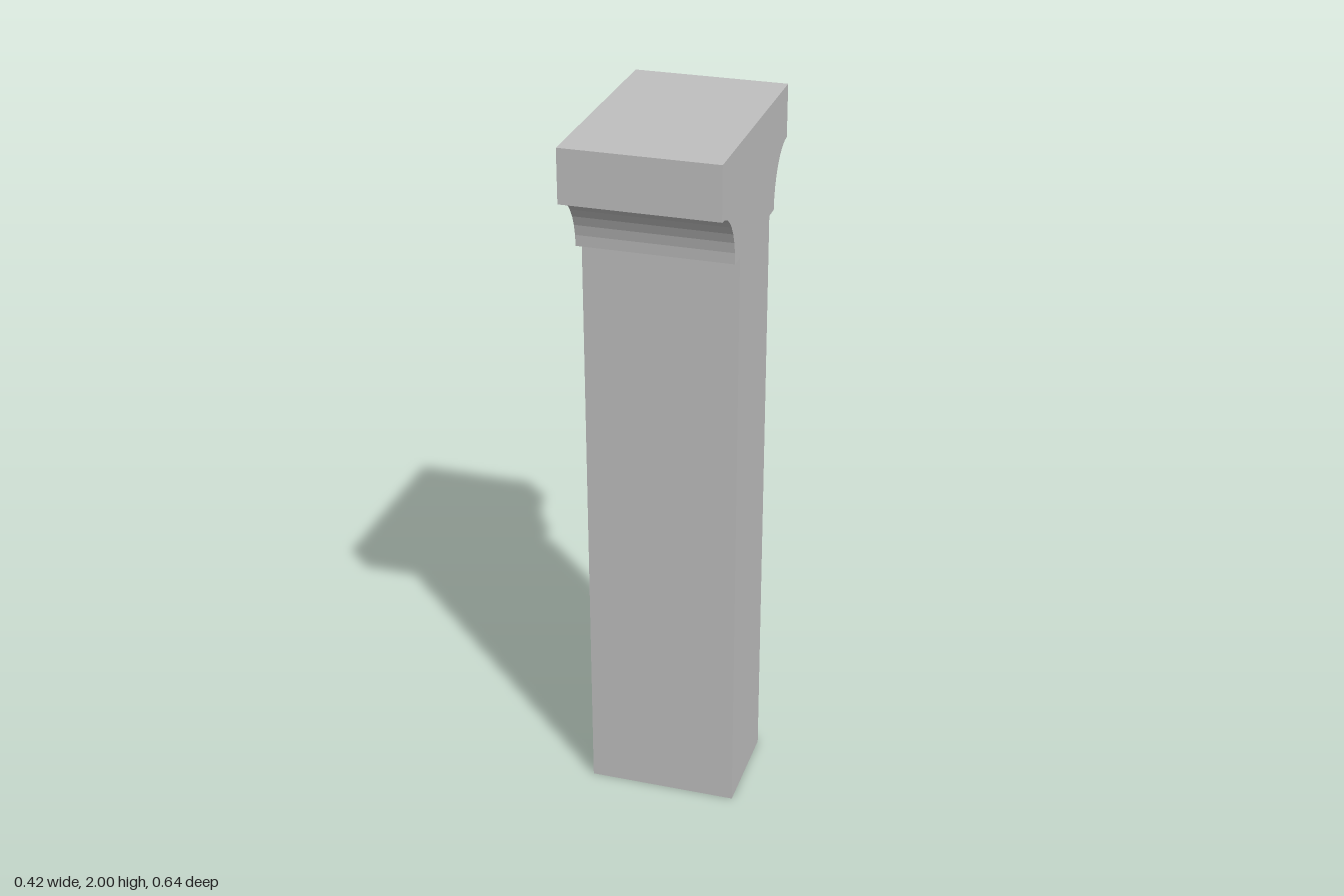
import * as THREE from 'three';

const WIDTH = 0.422;        // along x
const SHAFT = 0.147;        // half depths along z
const NECK = 0.194;
const CAP = 0.32;
const NECK_Y = 1.693;
const SLAB_Y = 1.853;
const TOP_Y = 2;
const COVE_STEPS = 8;

// Half of the side profile, from the foot up to the top
function halfProfile() {
  const points = [[SHAFT, 0], [SHAFT, NECK_Y]];
  // Concave cove from the neck out to the slab
  for (let i = 0; i <= COVE_STEPS; i++) {
    const a = (i / COVE_STEPS) * Math.PI / 2;
    points.push([
      CAP - (CAP - NECK) * Math.cos(a),
      NECK_Y + (SLAB_Y - NECK_Y) * Math.sin(a),
    ]);
  }
  points.push([CAP, TOP_Y]);
  return points;
}

export function createModel() {
  const stone = new THREE.MeshStandardMaterial({ color: 0xc0c0c0 });
  stone.name = 'grey stone';

  // Mirror the half profile and extrude it across the width
  const half = halfProfile();
  const mirrored = half.map(([z, y]) => [-z, y]).reverse();
  const shape = new THREE.Shape([...half, ...mirrored].map(([z, y]) => new THREE.Vector2(z, y)));
  const geometry = new THREE.ExtrudeGeometry(shape, { depth: WIDTH, bevelEnabled: false });
  geometry.translate(0, 0, -WIDTH / 2);
  geometry.rotateY(Math.PI / 2);

  const pillar = new THREE.Mesh(geometry, stone);
  pillar.name = 'pillarWithCoveCapital';

  const model = new THREE.Group();
  model.name = 'pillar';
  model.add(pillar);
  return model;
}
